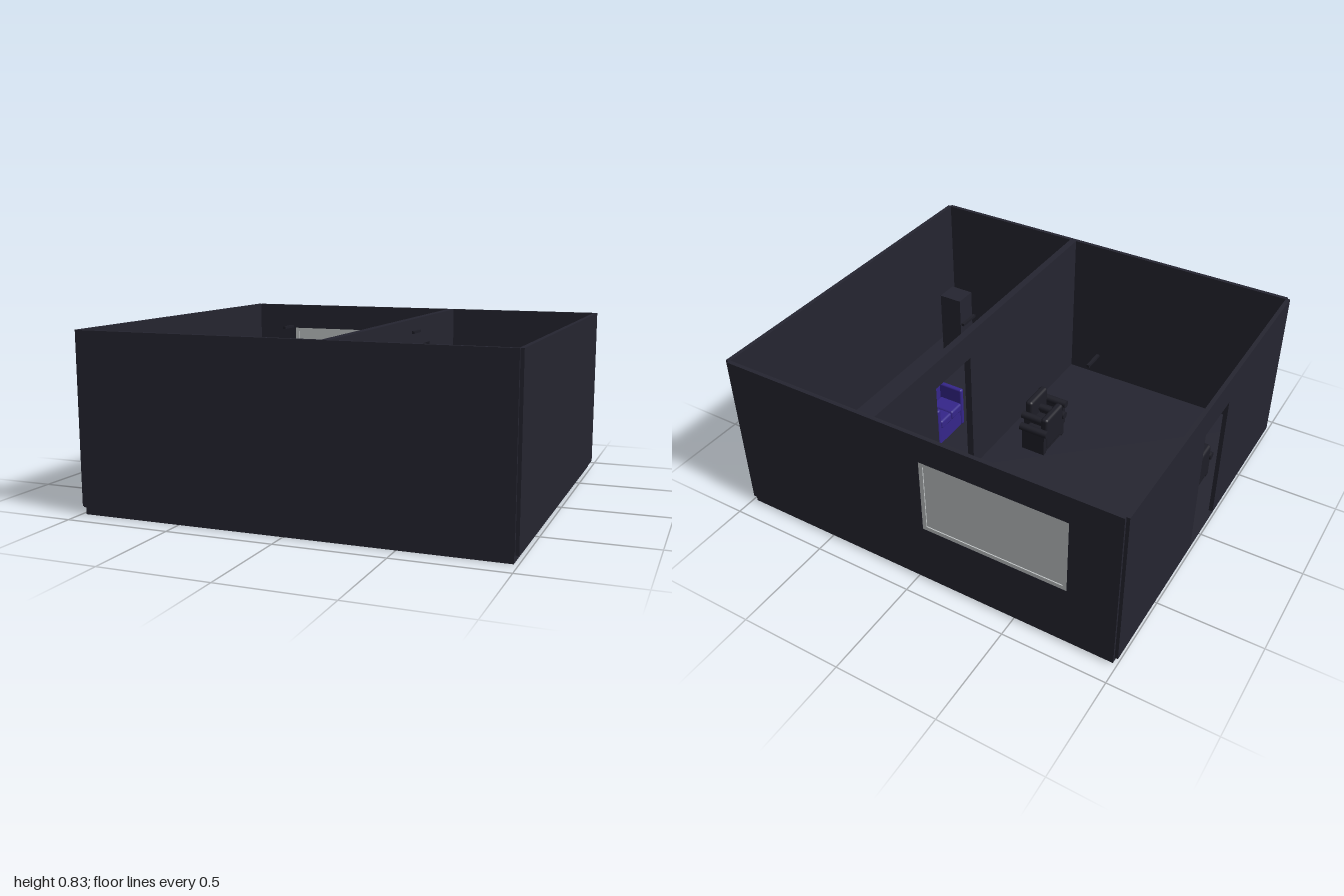
import * as THREE from 'three';
import { RoundedBoxGeometry } from 'three/addons/geometries/RoundedBoxGeometry.js';

const mat = (name, color) => {
  const m = new THREE.MeshStandardMaterial({ color });
  m.name = name;
  return m;
};

export function createModel() {
  const model = new THREE.Group();
  const charcoal = mat('charcoal', 0x252530);
  const black = mat('dark upholstery', 0x1e1e27);
  const purple = mat('purple fabric', 0x35268a);
  const teal = mat('teal', 0x1f5c62);
  const glass = mat('pale glass', 0xc2c6c7);

  const add = (parent, name, geometry, material, x = 0, y = 0, z = 0) => {
    const m = new THREE.Mesh(geometry, material);
    m.name = name;
    m.position.set(x, y, z);
    parent.add(m);
    return m;
  };
  // Box given by its minimum and maximum corners, optionally rounded
  const box = (parent, name, a, b, material, r = 0) => {
    const s = a.map((v, i) => b[i] - v);
    const g = r ? new RoundedBoxGeometry(...s, 2, r) : new THREE.BoxGeometry(...s);
    return add(parent, name, g, material, ...a.map((v, i) => (v + b[i]) / 2));
  };

  // Upright wall with optional rectangular opening [u0, y0, u1, y1]
  const FLOOR = 0.035, TOP = 0.835;
  const rect = (P, u0, y0, u1, y1) => {
    const p = new P();
    p.moveTo(u0, y0); p.lineTo(u1, y0); p.lineTo(u1, y1); p.lineTo(u0, y1); p.closePath();
    return p;
  };
  const wall = (name, half, thick, hole) => {
    const s = rect(THREE.Shape, -half, FLOOR, half, TOP);
    if (hole) s.holes.push(rect(THREE.Path, ...hole));
    return add(model, name, new THREE.ExtrudeGeometry(s, { depth: thick, bevelEnabled: false }), charcoal);
  };

  // Shell of the two rooms
  box(model, 'floor', [-0.98, 0, -0.895], [0.98, FLOOR, 0.895], charcoal);
  wall('frontWall', 0.985, 0.02, null).position.z = 0.885;
  wall('backWall', 0.985, 0.02, [-0.755, 0.32, -0.045, 0.7]).position.z = -0.905;
  const sides = [
    ['leftWall', 1, 0.02, null],
    ['rightWall', -0.98, 0.02, [-0.135, FLOOR + 0.004, 0.135, 0.7]],
    ['partition', 0.213, 0.035, [-0.445, FLOOR + 0.004, -0.16, 0.7]],
  ];
  for (const [name, x, thick, hole] of sides) {
    const w = wall(name, 0.893, thick, hole);
    w.rotation.y = -Math.PI / 2;
    w.position.x = x;
  }

  // Window: pane and slim frame
  const win = new THREE.Group();
  win.name = 'window';
  model.add(win);
  box(win, 'pane', [-0.755, 0.32, -0.899], [-0.045, 0.7, -0.891], glass);
  const frame = rect(THREE.Shape, -0.755, 0.32, -0.045, 0.7);
  frame.holes.push(rect(THREE.Path, -0.735, 0.34, -0.065, 0.68));
  add(win, 'frame', new THREE.ExtrudeGeometry(frame, { depth: 0.018, bevelEnabled: false }), glass, 0, 0, -0.904);

  // Slim ceiling lights
  for (const x of [-0.387, 0.285])
    box(model, 'ceilingLight', [x - 0.007, 0.785, -0.055], [x + 0.007, 0.797, 0.045], black);

  // Three-seat sofa against the back wall
  const sofa = new THREE.Group();
  sofa.name = 'sofa';
  model.add(sofa);
  box(sofa, 'base', [-0.63, 0.05, -0.83], [-0.13, 0.1, -0.66], black);
  box(sofa, 'back', [-0.64, 0.06, -0.833], [-0.12, 0.24, -0.785], black, 0.015);
  for (let i = 0; i < 3; i++) {
    const x = -0.622 + i * 0.162;
    box(sofa, 'seatCushion', [x, 0.1, -0.785], [x + 0.158, 0.145, -0.65], black, 0.012);
    box(sofa, 'backCushion', [x, 0.145, -0.8], [x + 0.158, 0.23, -0.765], black, 0.012);
  }
  for (const x of [-0.655, -0.105]) {
    box(sofa, 'arm', [x - 0.025, 0.035, -0.83], [x + 0.025, 0.19, -0.66], purple, 0.01);
    box(sofa, 'armCap', [x - 0.022, 0.185, -0.8], [x + 0.022, 0.2, -0.7], black, 0.005);
    box(sofa, 'backPost', [x - 0.022, 0.15, -0.835], [x + 0.022, 0.235, -0.79], purple, 0.01);
  }

  // Dark armchairs with rolled arms, facing +x before turning
  const armchair = (x, z, turn) => {
    const g = new THREE.Group();
    g.name = 'armchair';
    box(g, 'base', [-0.065, 0.045, -0.09], [0.065, 0.1, 0.09], black);
    box(g, 'seat', [-0.04, 0.1, -0.078], [0.072, 0.14, 0.078], black, 0.012);
    box(g, 'back', [-0.072, 0.06, -0.085], [-0.03, 0.245, 0.085], black, 0.015);
    for (const s of [-1, 1]) {
      box(g, 'armPanel', [-0.065, 0.035, s * 0.095 - 0.012], [0.065, 0.165, s * 0.095 + 0.012], black);
      add(g, 'armRoll', new THREE.CylinderGeometry(0.02, 0.02, 0.155, 14), black, 0, 0.165, s * 0.095).rotation.z = Math.PI / 2;
    }
    g.position.set(x, 0, z);
    g.rotation.y = turn;
    model.add(g);
  };
  armchair(-0.807, 0.28, 0);
  armchair(-0.023, 0.195, 0);
  armchair(0.017, 0.283, Math.PI);

  // Purple armchair in the smaller room, facing the partition
  const chair = new THREE.Group();
  chair.name = 'purpleChair';
  model.add(chair);
  box(chair, 'base', [0.42, FLOOR, -0.1], [0.57, 0.13, 0.09], purple);
  box(chair, 'back', [0.545, FLOOR, -0.115], [0.58, 0.36, 0.105], purple, 0.012);
  for (const z of [-0.052, 0.042])
    box(chair, 'seatCushion', [0.41, 0.13, z - 0.046], [0.545, 0.18, z + 0.046], purple, 0.012);
  for (const z of [-0.11, 0.1])
    box(chair, 'arm', [0.412, FLOOR, z - 0.013], [0.575, 0.26, z + 0.013], purple, 0.01);

  // Low cabinet with a half-round teal basin
  box(model, 'cabinet', [0.417, FLOOR, -0.868], [0.632, 0.25, -0.786], charcoal);
  add(model, 'basin', new THREE.CylinderGeometry(0.05, 0.05, 0.03, 24, 1, false, Math.PI / 2, Math.PI), teal, 0.58, 0.25, -0.788)
    .scale.z = 0.85;
  for (const z of [-0.868, -0.786])
    box(model, 'cabinetTrim', [0.417, 0.249, z - 0.002], [0.632, 0.253, z + 0.002], teal);

  // Tall cupboard in the front corner
  box(model, 'cupboard', [0.73, FLOOR, 0.572], [0.858, 0.45, 0.69], charcoal);

  return model;
}
